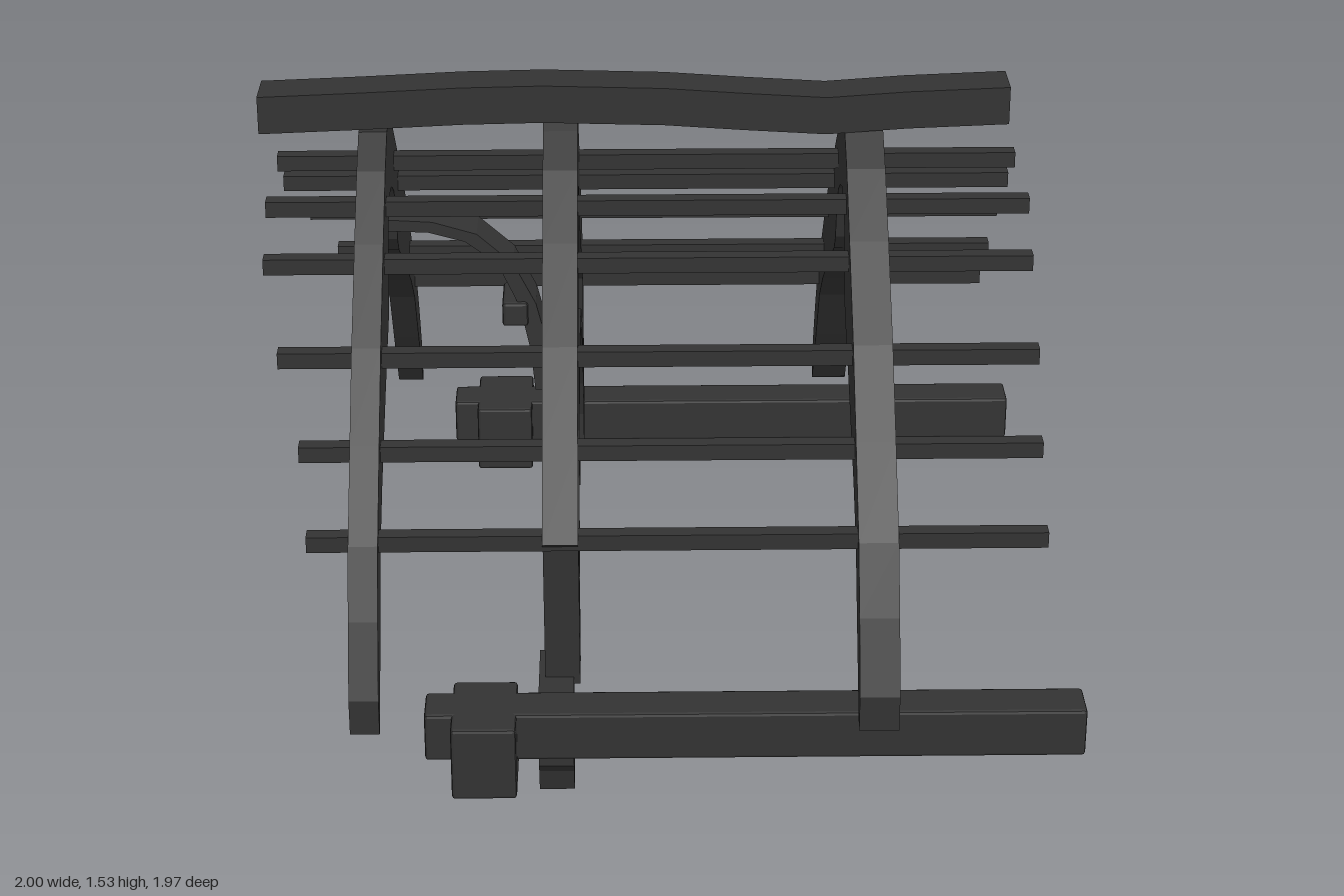
import * as THREE from 'three';
import { RoundedBoxGeometry } from 'three/addons/geometries/RoundedBoxGeometry.js';

const material = new THREE.MeshStandardMaterial({ color: 0x333333, flatShading: true });

export function createModel() {
  const model = new THREE.Group();

  function add(name, geometry) {
    const mesh = new THREE.Mesh(geometry, material);
    mesh.name = name;
    model.add(mesh);
    return mesh;
  }

  // Timber given by its extents along each axis, with slightly worn edges
  function timber(name, [x0, x1], [y0, y1], [z0, z1], worn = 0.008) {
    const size = [x1 - x0, y1 - y0, z1 - z0];
    const geometry = worn ? new RoundedBoxGeometry(...size, 1, worn) : new THREE.BoxGeometry(...size);
    add(name, geometry).position.set((x0 + x1) / 2, (y0 + y1) / 2, (z0 + z1) / 2);
  }

  const toShape = (points) => new THREE.Shape(points.map(([a, b]) => new THREE.Vector2(a, b)));

  // Cross-frame part: outline in (z, y), extruded from x0 to x1
  function framePart(name, shape, x0, x1) {
    const geometry = new THREE.ExtrudeGeometry(shape, { depth: x1 - x0, bevelEnabled: false, curveSegments: 12 });
    geometry.rotateY(Math.PI / 2).translate(x0, 0, 0);
    add(name, geometry);
  }

  // Lengthwise part: outline in (x, y), extruded across z
  function sidePart(name, points, width) {
    const geometry = new THREE.ExtrudeGeometry(toShape(points), { depth: width, bevelEnabled: false });
    add(name, geometry.translate(0, 0, -width / 2));
  }

  const mirrored = (half) => [...half, ...half.map(([z, y]) => [-z, y]).reverse()];
  const flip = (points, s) => points.map(([z, y]) => [z * s, y]);

  // Slightly sagging ridge beam
  const ridge = [[-1, 1.458], [-0.75, 1.468], [-0.5, 1.48], [-0.3, 1.484], [0, 1.476], [0.2, 1.462], [0.4, 1.45], [0.6, 1.464], [0.85, 1.474]];
  sidePart('ridgeBeam', [
    ...ridge.map(([x, y]) => [x, y - 0.048]),
    ...ridge.map(([x, y]) => [x, y + 0.048]).reverse(),
  ], 0.12);

  // Roof battens, in mirrored pairs: [z, y, start x]
  const battens = [[0.155, 1.255, -0.98], [0.275, 1.153, -0.98], [0.47, 0.992, -0.935], [0.615, 0.813, -0.88], [0.782, 0.66, -0.855]];
  for (const [z, y, x] of battens)
    for (const s of [1, -1])
      timber('batten', [x, 0.895], [y - 0.02, y + 0.02], [s * z - 0.02, s * z + 0.02], 0);

  // End rafter frames with a pointed opening and curved tails
  const roofEdge = [[0.05, 1.41], [0.15, 1.345], [0.3, 1.215], [0.5, 1.03], [0.66, 0.85], [0.82, 0.665]];
  const rafterFrame = mirrored([
    [0, 1.41], ...roofEdge,
    [0.905, 0.51], [0.98, 0.34], [0.98, 0.25], [0.965, 0.26],
    [0.84, 0.45], [0.735, 0.62], [0.62, 0.72], [0.4, 0.87], [0.21, 0.985],
    [0.175, 1.03], [0.155, 1.12], [0.11, 1.19], [0.05, 1.225], [0, 1.24],
  ]);
  framePart('frontRafterFrame', toShape(rafterFrame), 0.445, 0.54);
  framePart('rearRafterFrame', toShape(rafterFrame), -0.755, -0.685);

  // Middle truss: top chords
  const X0 = -0.3, X1 = -0.215;
  framePart('trussChords', toShape(mirrored([
    [0, 1.44], ...roofEdge,
    [0.745, 0.61], [0.64, 0.73], [0.4, 0.91], [0.21, 1.05],
    [0.15, 1.14], [0.08, 1.21], [0, 1.245],
  ])), X0, X1);

  // Arch curve shared by the rim and the pierced web
  const arch = [[0.6, 0.23], [0.6, 0.32], [0.565, 0.43], [0.51, 0.525], [0.43, 0.62], [0.34, 0.695], [0.24, 0.75], [0.12, 0.777], [0, 0.782]];
  const archTop = [[0.66, 0.23], [0.645, 0.33], [0.61, 0.45], [0.55, 0.555], [0.46, 0.66], [0.36, 0.74], [0.25, 0.797], [0.12, 0.828], [0, 0.834]];
  framePart('archRim', toShape([
    ...arch, ...flip(arch, -1).reverse().slice(1),
    ...flip(archTop, -1), ...archTop.slice(0, -1).reverse(),
  ]), X0, X1);

  // Pierced web between the arch and the chords
  const web = toShape(mirrored([
    [0, 1.26], [0.1, 1.24], [0.25, 1.06], [0.42, 0.94], [0.66, 0.75], [0.74, 0.61], [0.7, 0.3],
    ...archTop.slice(1).map(([z, y]) => [z, y - 0.02]),
  ]));
  // Holes: [z, y, radius along, radius across, tilt]
  const holes = [[0.59, 0.59, 0.045, 0.038, 1], [0.46, 0.728, 0.053, 0.037, 2.0], [0.315, 0.85, 0.054, 0.04, 2.2], [0.135, 0.892, 0.062, 0.042, 2.65]];
  for (const s of [1, -1]) {
    for (const [z, y, a, b, tilt] of holes) {
      const hole = new THREE.Path();
      hole.absellipse(s * z, y, a, b, 0, Math.PI * 2, false, s * tilt);
      web.holes.push(hole);
    }
    const slot = [[0.06, 1.05], [0.09, 1.03], [0.12, 1.07], [0.095, 1.11], [0.06, 1.125]];
    web.holes.push(toShape(flip(slot, s)));
  }
  framePart('piercedWeb', web, X0 + 0.015, X1 - 0.015);

  for (const s of [1, -1]) {
    // Truss legs
    framePart('trussLeg', toShape(flip([[0.72, 0.23], [0.67, 0.23], [0.69, 0.5], [0.66, 0.72], [0.75, 0.62]], s)), X0, X1);

    // Curved corbel beneath each leg
    framePart('corbel', toShape(flip([
      [0.59, 0.25], [0.59, 0.21], [0.65, 0.2], [0.71, 0.16], [0.75, 0.11], [0.765, 0.06],
      [0.78, 0.005], [0.83, 0], [0.845, 0.06], [0.87, 0.09], [0.87, 0.25],
    ], s)), -0.315, -0.23);

    // Eaves beam and its bearing block
    const span = (a, b) => (s > 0 ? [a, b] : [-b, -a]);
    timber('eavesBeam', [-0.585, 0.995], [0.135, 0.26], span(0.805, 0.915));
    timber('bearingBlock', [-0.52, -0.365], [0.07, 0.26], span(0.755, 0.985));
  }

  // Curved brace from the rear frame to the truss
  sidePart('curvedBrace', [
    [-0.7, 1.18], [-0.58, 1.173], [-0.47, 1.14], [-0.38, 1.06], [-0.325, 0.95], [-0.3, 0.85], [-0.29, 0.71],
    [-0.33, 0.71], [-0.34, 0.82], [-0.365, 0.94], [-0.42, 1.06], [-0.5, 1.12], [-0.59, 1.145], [-0.7, 1.15],
  ], 0.12);
  timber('bracePeg', [-0.41, -0.345], [0.89, 0.955], [-0.07, 0.07]);

  return model;
}
